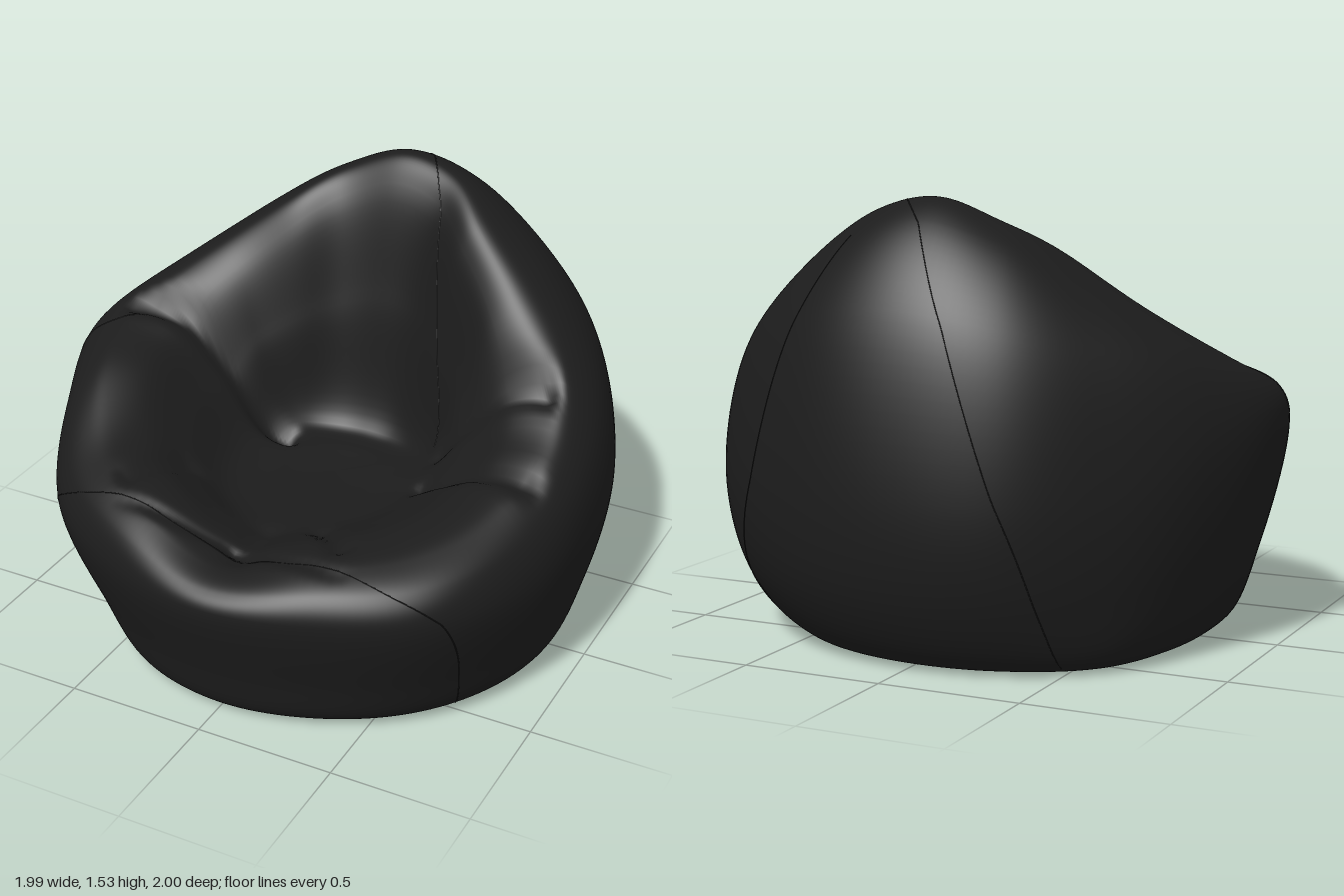
import * as THREE from 'three';

// Sixteen stations around the bag: 0 = front, 4 = +x, 8 = back, 12 = -x
const N = 16;
const bulgeR = [1.0, 1.0, 1.04, 1.01, 0.99, 1.01, 1.03, 1.01, 1.0, 1.0, 0.96, 0.96, 1.0, 0.97, 1.01, 0.99];
const bulgeY = [0.5, 0.5, 0.5, 0.5, 0.56, 0.58, 0.6, 0.6, 0.6, 0.6, 0.62, 0.77, 0.83, 0.7, 0.55, 0.5];
const baseR = [0.87, 0.87, 0.88, 0.88, 0.87, 0.84, 0.8, 0.81, 0.82, 0.84, 0.85, 0.79, 0.76, 0.78, 0.8, 0.85];
const rimR = [0.8, 0.8, 0.8, 0.81, 0.82, 0.63, 0.54, 0.56, 0.55, 0.55, 0.54, 0.65, 0.78, 0.8, 0.8, 0.8];
const rimY = [0.595, 0.645, 0.68, 0.75, 0.88, 1.2, 1.385, 1.5, 1.54, 1.46, 1.345, 1.16, 0.985, 0.9, 0.76, 0.7];
const footR = [0.5, 0.46, 0.4, 0.36, 0.33, 0.33, 0.3, 0.28, 0.27, 0.28, 0.3, 0.32, 0.32, 0.36, 0.4, 0.46];
const footY = [0.54, 0.545, 0.55, 0.56, 0.57, 0.57, 0.54, 0.53, 0.53, 0.53, 0.54, 0.56, 0.56, 0.56, 0.55, 0.545];

// Folds pressed into the top: x1, z1, x2, z2, depth, width
const folds = [
  [-0.84, -0.03, -0.25, -0.1, 0.06, 0.045],
  [0.4, -0.09, 0.76, -0.11, 0.06, 0.045],
  [0.4, 0.1, 0.86, 0.21, 0.04, 0.045],
  [-0.42, 0.8, 0, 0.74, 0.015, 0.03],
  [0, 0.74, 0.42, 0.8, 0.015, 0.03],
  [0.02, 0.55, 0.05, 0.78, 0.025, 0.06],
  [0.2, 0.48, 0.36, 0.66, 0.025, 0.04],
  [-0.36, 0.42, -0.44, 0.68, 0.025, 0.045],
];

const mix = THREE.MathUtils.lerp;

// Smooth periodic lookup in a station table
function around(table, k) {
  const i = Math.floor(k), f = k - i;
  const [a, b, c, d] = [-1, 0, 1, 2].map((o) => table[(i + o + 2 * N) % N]);
  return b + 0.5 * f * (c - a + f * (2 * a - 5 * b + 4 * c - d + f * (3 * (b - c) + d - a)));
}

// Section from the underside centre, up the wall, over the rim, into the seat
const SPANS = 13;
function section(k) {
  const [R, Y, B, r, y, fr, fy] = [bulgeR, bulgeY, baseR, rimR, rimY, footR, footY].map((t) => around(t, k));
  // The wall is straighter at the front and fuller at the back
  const wall = 0.6 - 0.15 * Math.cos((k / N) * Math.PI * 2);
  const pts = [
    [0, 0.03], [B * 0.5, 0.025], [B - 0.12, 0.012], [B, 0.04],
    [mix(B, R, wall), Y * 0.42], [R, Y],
    [mix(r, R, 0.8), mix(Y, y, 0.6)], [mix(r, R, 0.36), mix(Y, y, 0.92)],
    [r, y],
    [mix(r, fr, 0.3), mix(y, fy, 0.1)], [mix(r, fr, 0.64), mix(y, fy, 0.51)],
    [fr, fy], [fr * 0.5, mix(fy, 0.5, 0.7)], [0, 0.495],
  ];
  return new THREE.CatmullRomCurve3(pts.map(([px, py]) => new THREE.Vector3(px, py, 0)));
}

// Point on the fabric at station k and section position s (0..13)
function fabricPoint(k, s, curve = section(k)) {
  const p = curve.getPoint(s / SPANS);
  const a = (k / N) * Math.PI * 2;
  const x = p.x * Math.sin(a), z = p.x * Math.cos(a);
  let y = p.y;
  if (s > 6) {
    const top = THREE.MathUtils.smoothstep(s, 6, 8);
    for (const [x1, z1, x2, z2, depth, width] of folds) {
      const dx = x2 - x1, dz = z2 - z1;
      const t = THREE.MathUtils.clamp(((x - x1) * dx + (z - z1) * dz) / (dx * dx + dz * dz), 0, 1);
      const d = Math.hypot(x - x1 - t * dx, z - z1 - t * dz);
      y -= top * depth * Math.exp(-((d / width) ** 2));
    }
  } else if (s < 3) {
    // Rumpled underside
    const w = THREE.MathUtils.smoothstep(3 - s, 0.4, 1.4);
    y += w * 0.018 * (1 + Math.sin(13 * z + 4 * x + 1.5 * Math.sin(5 * x)));
  }
  return new THREE.Vector3(x, Math.max(y, 0.005), z);
}

function bagGeometry(cols, rows) {
  const pos = [], index = [];
  for (let i = 0; i < cols; i++) {
    const k = (i / cols) * N, curve = section(k);
    for (let j = 0; j <= rows; j++) pos.push(...fabricPoint(k, (j / rows) * SPANS, curve).toArray());
  }
  for (let i = 0; i < cols; i++) {
    const a = i * (rows + 1), b = ((i + 1) % cols) * (rows + 1);
    for (let j = 0; j < rows; j++) {
      if (j > 0) index.push(a + j, b + j, b + j + 1);
      if (j < rows - 1) index.push(a + j, b + j + 1, a + j + 1);
      else index.push(a + j, b + j, a + j + 1);
    }
  }
  const g = new THREE.BufferGeometry();
  g.setAttribute('position', new THREE.Float32BufferAttribute(pos, 3));
  g.setIndex(index);
  g.computeVertexNormals();
  return g;
}

// Stitched seam following the fabric through [station, position] pairs
function seamGeometry(path) {
  const guide = new THREE.CatmullRomCurve3(path.map(([k, s]) => new THREE.Vector3(k, s, 0)));
  const pts = guide.getPoints(40).map((p) => fabricPoint((p.x + N) % N, p.y));
  return new THREE.TubeGeometry(new THREE.CatmullRomCurve3(pts), 100, 0.002, 5);
}

export function createModel() {
  const group = new THREE.Group();
  group.name = 'beanBagChair';
  const fabric = new THREE.MeshStandardMaterial({ color: 0x1c1c1c });
  const add = (name, geometry) => {
    const mesh = new THREE.Mesh(geometry, fabric);
    mesh.name = name;
    group.add(mesh);
  };

  add('bag', bagGeometry(176, 156));

  // Front panel seams, mirrored
  for (const side of [-1, 1]) {
    add(side > 0 ? 'frontSeamLeft' : 'frontSeamRight',
      seamGeometry([[1.25, 7], [1.6, 6.2], [2, 5.2], [2.3, 4.3], [2.45, 3]].map(([k, s]) => [k * side, s])));
  }
  add('lipSeam', seamGeometry([[-1.25, 7], [-0.9, 7.7], [-0.4, 8.2], [0, 8.2], [0.4, 8.2], [0.9, 7.7], [1.25, 7]]));

  // Seam running from the backrest over the top and down the back
  add('backSeam', seamGeometry([[7.1, 8.6], [7.5, 7.8], [8, 7], [8.5, 6], [9.1, 4.7], [9.6, 3]]));
  add('sideSeam', seamGeometry([[7.1, 6.9], [6.85, 6], [6.5, 5], [6.1, 4.2], [5.4, 3]]));
  add('backrestSeam', seamGeometry([[7.1, 8.6], [6.6, 9.4], [6, 10], [5, 10.8]]));
  add('armSeam', seamGeometry([[12.1, 8], [12.2, 7.2], [12.3, 6.2], [12.4, 5]]));
  return group;
}
